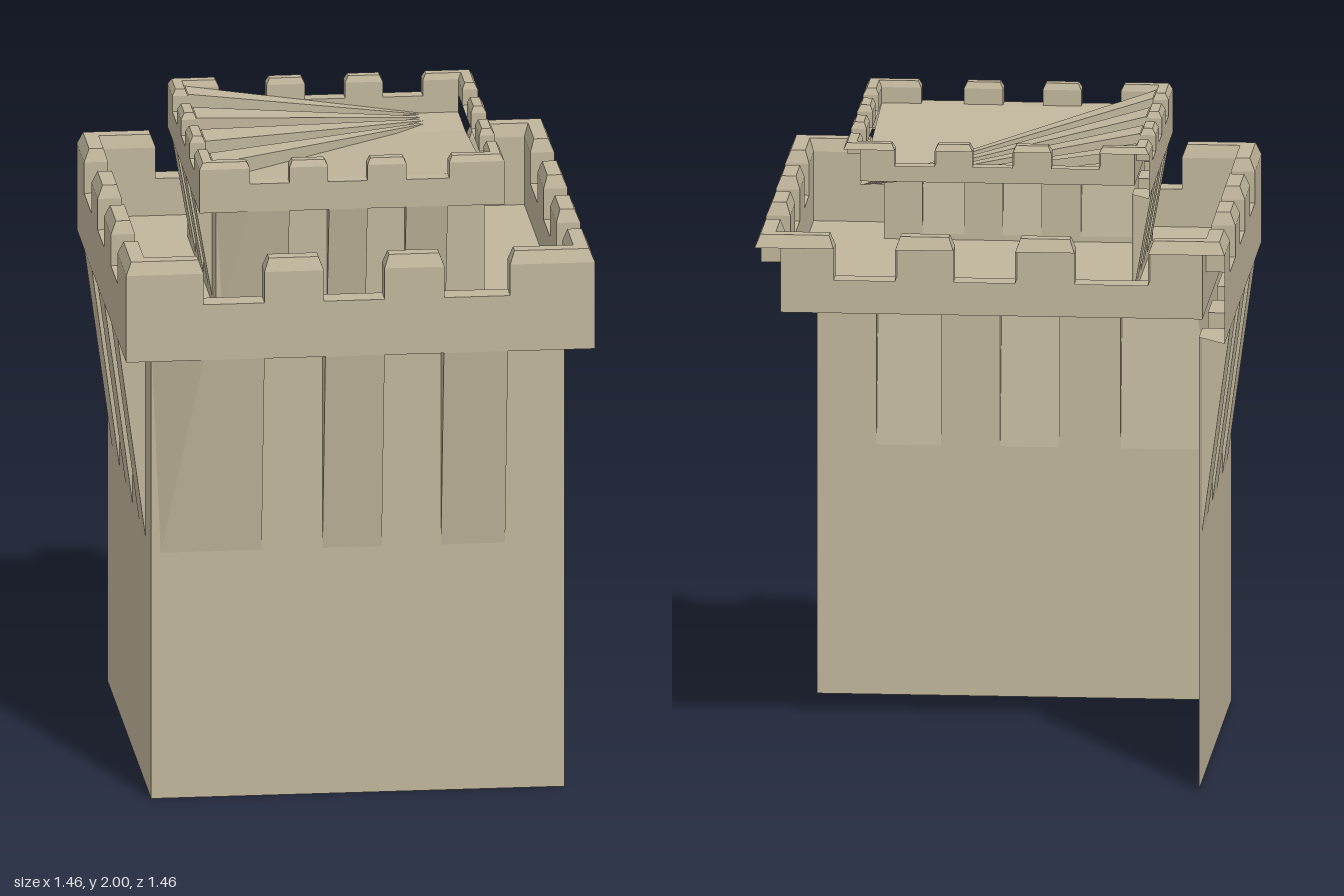
import * as THREE from 'three';

const material = new THREE.MeshStandardMaterial({ color: 0xc0b59b, flatShading: true, side: THREE.DoubleSide });

// Each side works in (u along the side, y up, d out from the centre).
const SIDES = {
  front: { map: (u, y, d) => [u, y, d], open: false },
  left: { map: (u, y, d) => [-d, y, u], open: false },
  right: { map: (u, y, d) => [d, y, u], open: true },
  back: { map: (u, y, d) => [u, y, -d], open: true },
};
const WALL = 0.645, OUT = 0.732, IN = 0.657;
const LEDGE = 1.44, RIM = 1.62, BEVEL = 1.72, TOP = 1.76, FOOT = 0.795;

// Mesh from convex polygons, each fanned from its first corner
function polyMesh(name, polys, map = (x, y, z) => [x, y, z]) {
  const pos = [];
  for (const p of polys)
    for (let i = 1; i < p.length - 1; i++)
      for (const v of [p[0], p[i], p[i + 1]]) pos.push(...map(...v));
  const g = new THREE.BufferGeometry();
  g.setAttribute('position', new THREE.Float32BufferAttribute(pos, 3));
  g.computeVertexNormals();
  const mesh = new THREE.Mesh(g, material);
  mesh.name = name;
  return mesh;
}

// Parapet: outer and inner faces, and the rim between merlons; open sides have no outer face
function parapet(side, merlons, innerFace) {
  const band = (d, y0, y1) => [[-d, y0, d], [d, y0, d], [d, y1, d], [-d, y1, d]];
  const polys = [];
  if (!side.open) polys.push(band(OUT, LEDGE, RIM));
  if (innerFace) polys.push(band(IN, 1.5, RIM));
  for (let i = 1; i < merlons.length; i++) {
    const a = merlons[i - 1][1], b = merlons[i][0];
    polys.push([[a, RIM, OUT], [b, RIM, OUT], [b, RIM, IN], [a, RIM, IN]]);
  }
  return polyMesh('parapet', polys, side.map);
}

// Bevelled merlon; an end given as null runs into the mitred corner
function merlon(side, lo, hi) {
  const profile = [[OUT, RIM], [OUT, BEVEL], [OUT - 0.017, TOP], [IN + 0.013, TOP], [IN, BEVEL], [IN, RIM]];
  const end = (u, s) => profile.map(([d, y]) =>
    [u === null ? s * d : u - s * (y === TOP ? 0.015 : 0), y, d]);
  const a = end(lo, -1), b = end(hi, 1), polys = [];
  for (let i = side.open ? 1 : 0; i < 5; i++) polys.push([a[i], b[i], b[i + 1], a[i + 1]]);
  for (const [u, e] of [[lo, a], [hi, b]])
    if (u !== null) polys.push([e[0], e[1], e[4], e[5]], [e[1], e[2], e[3], e[4]]);
  return polyMesh('merlon', polys, side.map);
}

// Hollow wedge corbel; foot and root shift its low end where it leans to the corner
function corbel(side, { lo, hi, foot = lo, root = lo }) {
  const a = [lo, LEDGE, OUT], b = [hi, LEDGE, OUT], c = [hi, FOOT, WALL], e = [foot, FOOT, WALL];
  return polyMesh('corbel', [[a, e, c, b], [a, [root, LEDGE, WALL], e], [b, c, [hi, LEDGE, WALL]]], side.map);
}

// Underside of the parapet between the corbels
function ledge(side, corbels) {
  const starts = [[-OUT, -WALL], ...corbels.map(c => [c.hi, c.hi])];
  const ends = [...corbels.map(({ lo, root = lo }) => [lo, root]), [OUT, WALL]];
  return polyMesh('ledge', starts.map(([o, w], i) =>
    [[o, LEDGE, OUT], [w, LEDGE, WALL], [ends[i][1], LEDGE, WALL], [ends[i][0], LEDGE, OUT]]), side.map);
}

// Wall panel, notched from its top edge behind each corbel
function wall(side, bottom, corbels) {
  const V = (x, y) => new THREE.Vector2(x, y);
  const points = [V(WALL, LEDGE), V(WALL, bottom), V(-WALL, bottom), V(-WALL, LEDGE)];
  for (const { lo, hi, foot = lo, root = lo } of corbels)
    points.push(V(root, LEDGE), V(foot, FOOT), V(hi, FOOT), V(hi, LEDGE));
  const g = new THREE.ShapeGeometry(new THREE.Shape(points));
  const p = g.attributes.position;
  for (let i = 0; i < p.count; i++) p.setXYZ(i, ...side.map(p.getX(i), p.getY(i), WALL));
  g.computeVertexNormals();
  const mesh = new THREE.Mesh(g, material);
  mesh.name = 'wall';
  return mesh;
}

const CORBELS = {
  front: [{ lo: -0.49, hi: -0.3, foot: -0.615, root: -0.643 }, { lo: -0.11, hi: 0.075 }, { lo: 0.26, hi: 0.46 }],
  left: [{ lo: -0.51, hi: -0.29 }, { lo: -0.11, hi: 0.085 }, { lo: 0.29, hi: 0.48 }],
};
const MERLONS = {
  front: [[null, -0.49], [-0.3, -0.115], [0.075, 0.262], [0.467, null]],
  left: [[null, -0.518], [-0.3, -0.117], [0.073, 0.277], [0.475, null]],
  right: [[null, -0.48], [-0.267, -0.082], [0.11, 0.294], [0.48, null]],
  back: [[null, -0.494], [-0.264, -0.08], [0.113, 0.294], [0.486, null]],
};

// One storey: two walls, corbels, floor and a full ring of battlements
function storey(name, bottom, floorY, bareSide) {
  const group = new THREE.Group();
  group.name = name;
  for (const [key, side] of Object.entries(SIDES)) {
    const part = new THREE.Group();
    part.name = key + 'Side';
    if (!side.open) {
      part.add(wall(side, bottom, CORBELS[key]), ledge(side, CORBELS[key]));
      for (const c of CORBELS[key]) part.add(corbel(side, c));
    }
    part.add(parapet(side, MERLONS[key], key !== bareSide));
    for (const [lo, hi] of MERLONS[key]) part.add(merlon(side, lo, hi));
    group.add(part);
  }
  group.add(polyMesh('floor', [[[-IN, floorY, IN], [IN, floorY, IN], [IN, floorY, -IN], [-IN, floorY, -IN]]]));
  return group;
}

// Sloping roof: a fan from the low back corner to the notched left edge and the front edge
function roof() {
  const r = 0.427, hi = 1.985, lo = 1.93;
  const apex = [r, 1.857, -r];
  const edge = [[-r, hi, -r]];
  for (const [a, b] of [[-0.337, -0.195], [-0.076, 0.048], [0.18, 0.31]])
    edge.push([-r, hi, a], [-r, lo, a], [-r, lo, b], [-r, hi, b]);
  edge.push([-r, hi, r], [-r, lo, r], [r, lo, r]);
  return polyMesh('roof', edge.slice(1).map((p, i) => [apex, edge[i], p]));
}

export function createModel() {
  const model = new THREE.Group();
  model.name = 'castleTower';
  model.add(storey('lowerStorey', 0, 1.5));

  // The upper storey repeats the lower one, smaller
  const upper = storey('upperStorey', 0.73, 1.51, 'right');
  upper.scale.set(0.65, 0.5, 0.65);
  upper.position.y = 1.12;
  model.add(upper, roof());
  return model;
}
